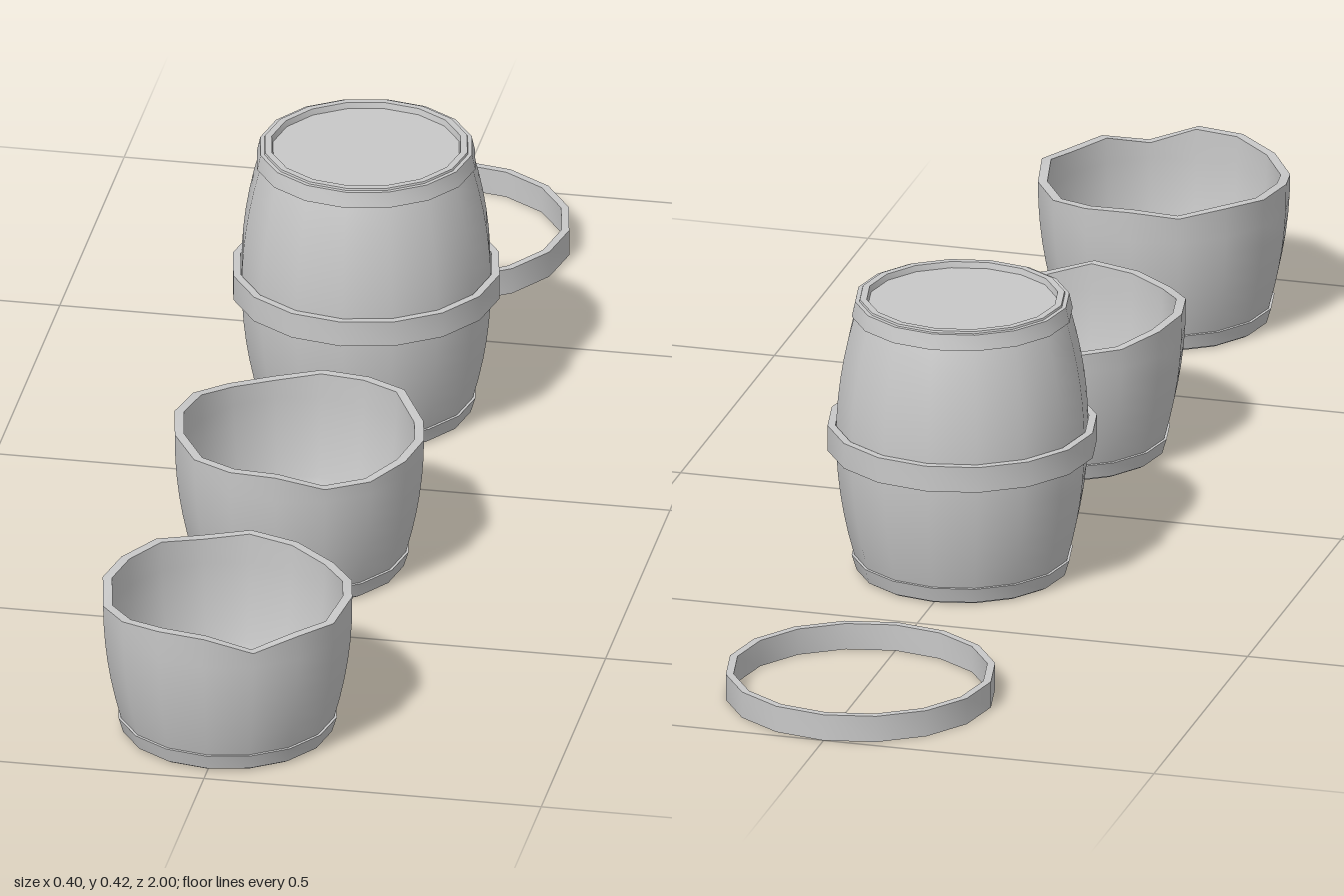
import * as THREE from 'three';
import { toCreasedNormals } from 'three/addons/utils/BufferGeometryUtils.js';

const SIDES = 16;
const HEIGHT = 0.423;

export function createModel() {
  const model = new THREE.Group();
  const grey = new THREE.MeshStandardMaterial({ color: 0xc8c8c8 });
  grey.name = 'plainGrey';

  // Bulging stave radius at height y
  const bulge = (y) => 0.185 - 0.035 * ((y - HEIGHT / 2) / (HEIGHT / 2)) ** 2;

  // Revolve a profile; rim heights replace y wherever the profile exceeds rimFrom
  function revolve(name, profile, rim, rimFrom) {
    const geo = new THREE.LatheGeometry(profile.map(([r, y]) => new THREE.Vector2(r, y)), SIDES);
    if (rim) {
      const pos = geo.attributes.position;
      for (let i = 0; i < pos.count; i++) {
        if (pos.getY(i) > rimFrom) {
          pos.setY(i, rim[Math.floor(i / profile.length) % SIDES]);
        }
      }
    }
    const mesh = new THREE.Mesh(toCreasedNormals(geo, 0.55), grey);
    mesh.name = name;
    return mesh;
  }

  // Straight hoop from y0 to y1
  const hoop = (name, y0, y1) => revolve(name, [
    [0.186, y0], [0.1975, y0], [0.1975, y1], [0.186, y1], [0.186, y0]]);

  // Slanted bands at the two ends
  const bottomBand = () => revolve('bottomBand', [
    [0.148, 0.003], [0.155, 0.003], [0.162, 0.026], [0.148, 0.027]]);
  const topBand = () => revolve('topBand', [
    [0.148, 0.397], [0.162, 0.397], [0.157, 0.42], [0.148, 0.42]]);

  // Recessed bottom shared by all bodies
  const base = [[0, 0.009], [0.138, 0.009], [0.14, 0], [bulge(0), 0]];

  function group(name, z, ...parts) {
    const g = new THREE.Group();
    g.name = name;
    g.position.z = z;
    g.add(...parts);
    model.add(g);
  }

  // Whole barrel with recessed lid
  const staves = [];
  for (let i = 1; i < 14; i++) {
    const y = (HEIGHT * i) / 14;
    staves.push([bulge(y), y]);
  }
  const barrelBody = revolve('barrelBody', [
    ...base, ...staves, [bulge(HEIGHT), HEIGHT], [0.14, HEIGHT], [0.138, 0.414], [0, 0.414]]);
  group('wholeBarrel', -0.26, barrelBody, bottomBand(), topBand(), hoop('middleHoop', 0.19, 0.229));

  // Loose hoop lying on the ground
  group('looseHoop', -0.803, hoop('hoopRing', 0, 0.04));

  // Broken lower halves with hollow inside and jagged rim
  function brokenHalf(name, z, rim) {
    const levels = [0.03, 0.06, 0.09, 0.12, 0.15, 0.18];
    const outer = levels.map((y) => [bulge(y), y]);
    const inner = levels.map((y) => [bulge(y) - 0.014, y]).reverse();
    const body = revolve('brokenBody', [
      ...base, ...outer, [0.185, 0.215], [0.171, 0.215], ...inner,
      [0.137, 0.018], [0, 0.018]], rim, 0.2);
    group(name, z, body, bottomBand());
  }
  // Rim heights run from the front round by the left side
  brokenHalf('frontBrokenHalf', 0.817, [
    0.226, 0.203, 0.218, 0.213, 0.224, 0.215, 0.212, 0.22,
    0.226, 0.218, 0.226, 0.222, 0.222, 0.21, 0.217, 0.226]);
  brokenHalf('rearBrokenHalf', 0.26, [
    0.22, 0.201, 0.2, 0.208, 0.21, 0.205, 0.224, 0.22,
    0.218, 0.208, 0.21, 0.22, 0.223, 0.22, 0.212, 0.216]);

  return model;
}
